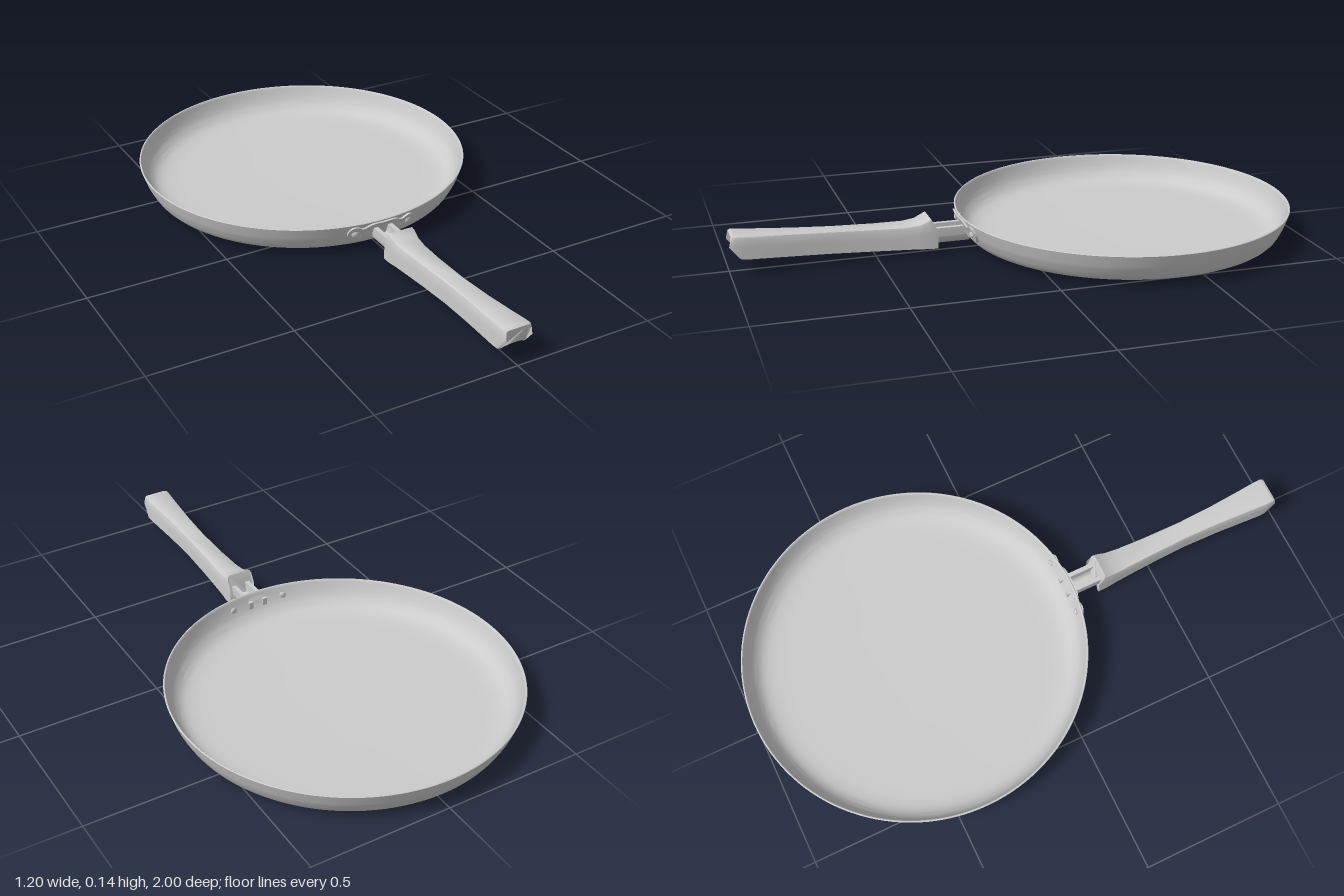
import * as THREE from 'three';
import { toCreasedNormals } from 'three/addons/utils/BufferGeometryUtils.js';

const V2 = (x, y) => new THREE.Vector2(x, y);
const lerp = THREE.MathUtils.lerp;
const PAN_Z = -0.4;

// Outer wall radius at a given height
function wallRadius(y) {
  return y < 0.06 ? lerp(0.555, 0.58, (y - 0.022) / 0.038) : lerp(0.58, 0.6, (y - 0.06) / 0.055);
}

// Handle stations: half width, then [z, y] of the top, middle and bottom, and groove depth
const STATIONS = [
  [0.050, [0.315, 0.131], [0.29, 0.085], [0.29, 0.022], 0.30],
  [0.051, [0.325, 0.126], [0.32, 0.075], [0.32, 0.023], 0.32],
  [0.047, [0.355, 0.112], [0.36, 0.068], [0.36, 0.025], 0.36],
  [0.043, [0.40, 0.107], [0.42, 0.068], [0.42, 0.027], 0.38],
  [0.038, [0.50, 0.109], [0.52, 0.071], [0.52, 0.031], 0.38],
  [0.035, [0.65, 0.115], [0.65, 0.077], [0.65, 0.037], 0.38],
  [0.039, [0.78, 0.122], [0.77, 0.083], [0.77, 0.043], 0.38],
  [0.046, [0.89, 0.129], [0.88, 0.092], [0.87, 0.049], 0.34],
  [0.051, [0.96, 0.134], [0.96, 0.098], [0.935, 0.053], 0.28],
  [0.051, [0.985, 0.137], [0.99, 0.10], [0.96, 0.055], 0.22],
  [0.047, [0.993, 0.134], [1.0, 0.10], [0.967, 0.058], 0.18],
];

function handleGeometry() {
  const section = (depth) => {
    const p = [[-1, 0]];
    for (let i = 0; i <= 8; i++) {
      const a = Math.PI * i / 8;
      p.push([-0.82 * Math.cos(a), depth * Math.sin(a)]);
    }
    p.push([1, 0], [1, 0.5], [0.98, 0.86], [0.92, 0.96], [0.8, 1]);
    p.push([-0.8, 1], [-0.92, 0.96], [-0.98, 0.86], [-1, 0.5]);
    return p;
  };
  const pos = [], index = [];
  const n = section(0.3).length;
  STATIONS.forEach(([w, top, mid, bot, depth], s) => {
    section(depth).forEach(([u, v], i) => {
      const [a, b, t] = v < 0.5 ? [bot, mid, v * 2] : [mid, top, v * 2 - 1];
      pos.push(u * w, lerp(a[1], b[1], t), lerp(a[0], b[0], t));
      if (s === STATIONS.length - 1) return;
      const j = (i + 1) % n, k = s * n;
      index.push(k + i, k + j, k + n + i, k + j, k + n + j, k + n + i);
    });
  });
  // End caps
  const last = (STATIONS.length - 1) * n;
  const faces = THREE.ShapeUtils.triangulateShape(section(0.25).map(([u, v]) => V2(u, v)), []);
  for (const [a, b, c] of faces) index.push(a, c, b, last + a, last + b, last + c);
  const g = new THREE.BufferGeometry();
  g.setAttribute('position', new THREE.Float32BufferAttribute(pos, 3));
  g.setIndex(index);
  return toCreasedNormals(g, 0.6);
}

function panGeometry() {
  const outer = new THREE.SplineCurve([V2(0.46, 0.007), V2(0.51, 0.01), V2(0.555, 0.022),
    V2(0.58, 0.06), V2(0.591, 0.088), V2(0.6, 0.115)]).getPoints(20);
  const inner = new THREE.SplineCurve([V2(0.593, 0.115), V2(0.582, 0.083), V2(0.567, 0.055),
    V2(0.54, 0.031), V2(0.5, 0.02), V2(0.44, 0.017)]).getPoints(20);
  const profile = [V2(0, 0), V2(0.22, 0.001), ...outer, V2(0.598, 0.117), V2(0.595, 0.117),
    ...inner, V2(0.22, 0.016), V2(0, 0.016)];
  return toCreasedNormals(new THREE.LatheGeometry(profile, 128), 0.7);
}

// Flat wavy plate bent around the wall
function bracketGeometry() {
  const y0 = 0.079;
  const half = [[0, 0.03], [0.03, 0.031], [0.05, 0.028], [0.065, 0.02], [0.078, 0.018],
    [0.09, 0.025], [0.104, 0.029], [0.118, 0.024], [0.127, 0.012]];
  const right = [...half.map(([x, y]) => [x, -y]), [0.13, 0], ...half.slice().reverse()];
  const left = right.slice(1, -1).reverse().map(([x, y]) => [-x, y]);
  const loop = [...right, ...left].map(([x, y]) => new THREE.Vector3(x, y0 + y, 0));
  const outline = new THREE.CatmullRomCurve3(loop, true).getPoints(96).slice(0, -1);
  const g = new THREE.ExtrudeGeometry(new THREE.Shape(outline.map((p) => V2(p.x, p.y))),
    { depth: 0.012, bevelEnabled: false });
  const p = g.attributes.position;
  for (let i = 0; i < p.count; i++) {
    const y = p.getY(i), a = p.getX(i) / 0.59, r = wallRadius(y) - 0.003 + p.getZ(i);
    p.setXYZ(i, r * Math.sin(a), y, r * Math.cos(a) + PAN_Z);
  }
  return toCreasedNormals(g, 0.6);
}

// U-shaped channel joining the plate and the handle
function stemGeometry() {
  const s = new THREE.Shape();
  s.moveTo(-0.036, 0.09);
  s.lineTo(-0.036, 0.064);
  s.absarc(0, 0.064, 0.036, Math.PI, Math.PI * 2, false);
  s.lineTo(0.036, 0.09);
  s.lineTo(0.02, 0.09);
  s.lineTo(0.02, 0.064);
  s.absarc(0, 0.064, 0.02, 0, Math.PI, true);
  s.lineTo(-0.02, 0.09);
  s.closePath();
  const g = new THREE.ExtrudeGeometry(s, { depth: 0.15, bevelEnabled: false, curveSegments: 16 });
  return toCreasedNormals(g.translate(0, 0, 0.172), 0.6);
}

export function createModel() {
  const model = new THREE.Group();
  const material = new THREE.MeshStandardMaterial({ color: 0xcccccc });
  const add = (name, geometry) => {
    const mesh = new THREE.Mesh(geometry, material);
    mesh.name = name;
    model.add(mesh);
    return mesh;
  };

  add('pan', panGeometry()).position.z = PAN_Z;
  add('bracket', bracketGeometry());
  add('stem', stemGeometry());
  add('handle', handleGeometry());

  // Rivet heads on both sides of the wall
  for (const side of [-1, 1]) {
    const a = side * 0.104 / 0.59;
    for (const [name, r] of [['innerRivet', 0.581], ['outerRivet', 0.596]]) {
      const rivet = add(name, new THREE.SphereGeometry(0.013, 20, 12).scale(1, 1, 0.45));
      rivet.position.set(r * Math.sin(a), 0.08, r * Math.cos(a) + PAN_Z);
      rivet.rotation.y = a;
    }
  }
  return model;
}
